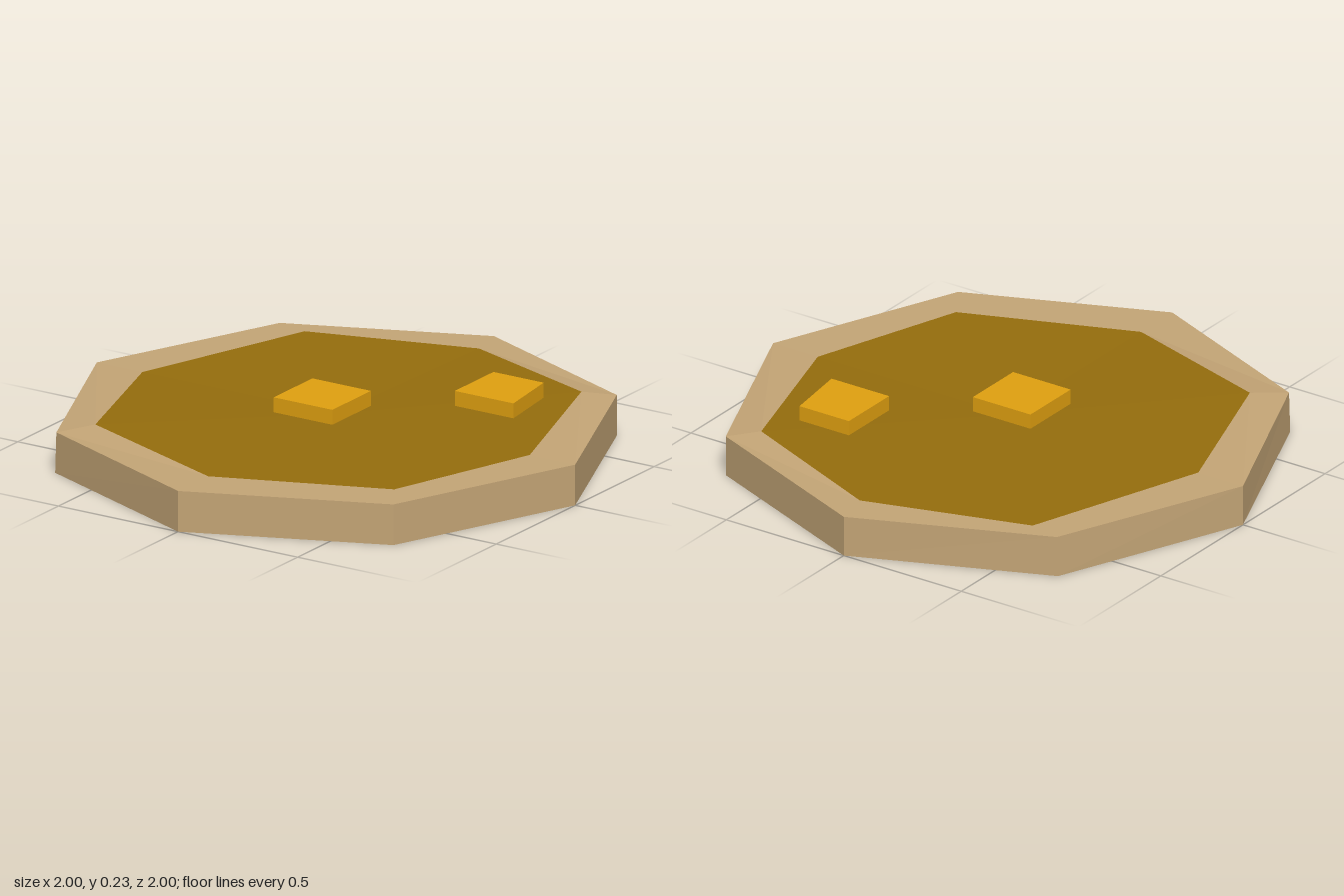
import * as THREE from 'three';

const mat = (name, color) => Object.assign(new THREE.MeshStandardMaterial({ color, flatShading: true }), { name });

// Triangles from a list of corner triples
function surface(name, triangles, material) {
  const g = new THREE.BufferGeometry();
  g.setAttribute('position', new THREE.Float32BufferAttribute(triangles.flat(2), 3));
  g.computeVertexNormals();
  const mesh = new THREE.Mesh(g, material);
  mesh.name = name;
  return mesh;
}
const quad = (a, b, c, d) => [[a, b, c], [a, c, d]];

export function createModel() {
  const group = new THREE.Group();
  group.name = 'flatPie';
  const crust = mat('crust tan', 0xc4a576);
  const filling = mat('filling brown', 0x956d0d);
  const butter = mat('topping gold', 0xe0a010);

  // Rings run from the front (+z) towards the left (+x)
  const H = 0.15, N = 8;
  const ring = (y, inset) => Array.from({ length: N }, (_, i) => {
    const a = (i * Math.PI) / 4;
    const x = Math.sin(a);
    return [x < -0.1 && x > -0.9 ? x + inset : x, y, Math.cos(a)];
  });
  const bottom = ring(0, 0), rim = ring(H, 0.005);
  // Uneven filling edge, raised at two opposite corners
  const inner = [
    [0, H, 0.81], [0.62, H, 0.57], [0.81, H, 0], [0.61, 0.166, -0.63],
    [0.03, H, -0.86], [-0.58, H, -0.68], [-0.81, H, 0], [-0.61, 0.166, 0.6],
  ];

  const crustFaces = [], fillingFaces = [];
  for (let i = 0; i < N; i++) {
    const j = (i + 1) % N;
    crustFaces.push(...quad(bottom[i], bottom[j], rim[j], rim[i]));
    crustFaces.push(...quad(rim[i], rim[j], inner[j], inner[i]));
    crustFaces.push([[0, 0, 0], bottom[j], bottom[i]]);
    fillingFaces.push([[0, H, 0], inner[i], inner[j]]);
  }
  group.add(surface('crust', crustFaces, crust), surface('filling', fillingFaces, filling));

  // Square toppings hovering just over the filling
  const addTopping = (name, x, z, skew) => {
    const g = new THREE.BoxGeometry(0.245, 0.055, 0.245);
    const p = g.attributes.position;
    for (let i = 0; i < p.count; i++) {
      if (p.getX(i) > 0 && p.getZ(i) < 0) p.setX(i, p.getX(i) - skew);
    }
    g.computeVertexNormals();
    const mesh = new THREE.Mesh(g, butter);
    mesh.name = name;
    mesh.position.set(x, 0.199, z);
    group.add(mesh);
  };
  addTopping('middleTopping', -0.032, 0.038, 0);
  addTopping('backTopping', 0.457, -0.368, 0.035);

  return group;
}
